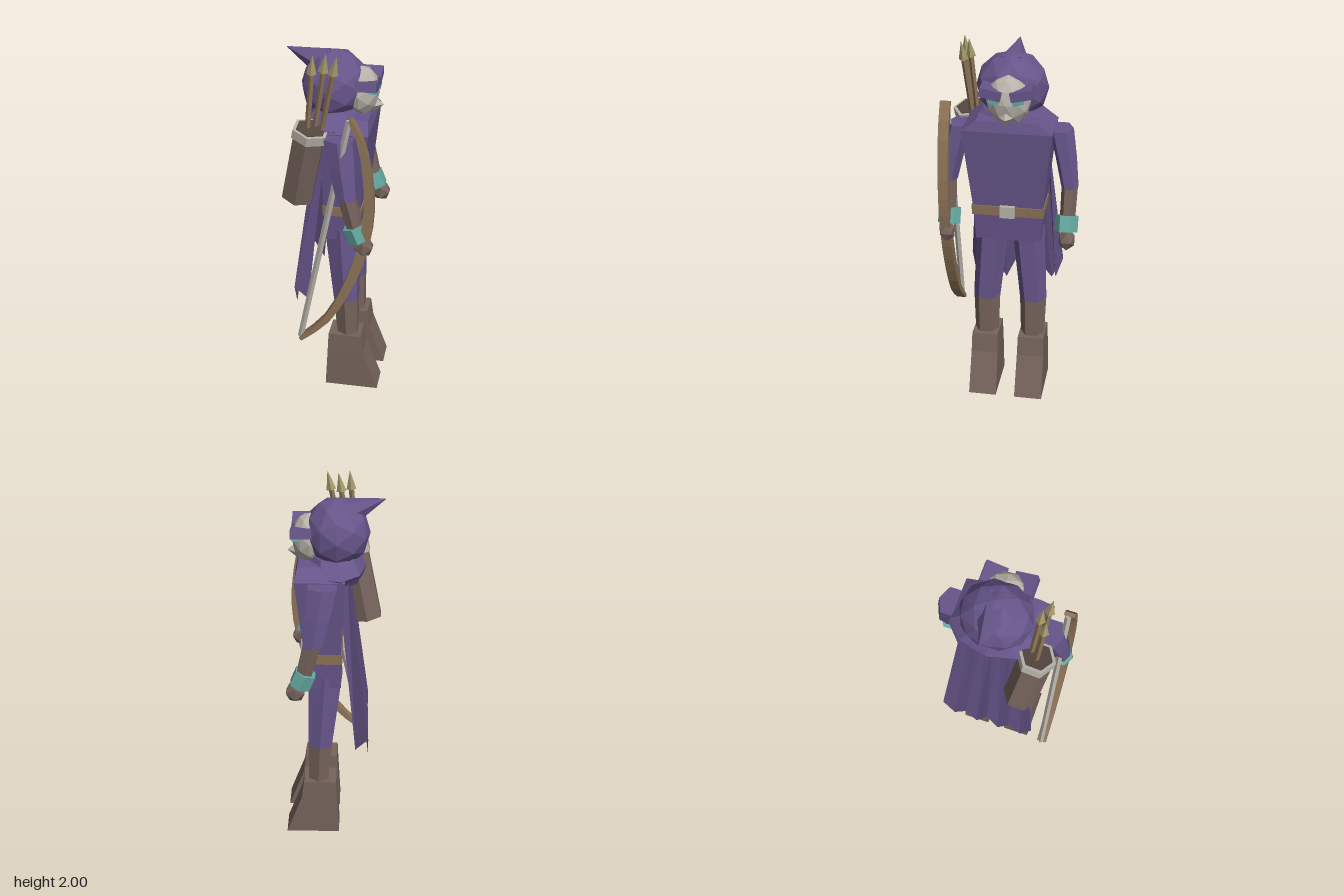
import * as THREE from 'three';

const mat = (name, color, extra = {}) => {
  const m = new THREE.MeshStandardMaterial({ color, flatShading: true, ...extra });
  m.name = name;
  return m;
};

export function createModel() {
  const purple = mat('purple cloth', 0x66558a);
  const cloak = mat('purple cloak', 0x5f4f80, { side: THREE.DoubleSide });
  const brown = mat('brown leather', 0x75635b);
  const dark = mat('dark lining', 0x54463f);
  const wood = mat('tan wood', 0x8d7358);
  const grey = mat('pale grey', 0xb7b3aa);
  const teal = mat('teal', 0x64a8a0);
  const olive = mat('olive brass', 0xa39a68);

  const root = new THREE.Group();
  root.name = 'hoodedArcher';
  const add = (name, geo, m, parent = root) => {
    const mesh = new THREE.Mesh(geo, m);
    mesh.name = name;
    parent.add(mesh);
    return mesh;
  };
  const V = (x, y, z) => new THREE.Vector3(x, y, z);

  // Closed rings of equal point count, joined and capped
  const loft = (rings) => {
    const pos = [];
    const tri = (...p) => p.forEach((q) => pos.push(q.x, q.y, q.z));
    const n = rings[0].length;
    for (let r = 0; r < rings.length - 1; r++) {
      for (let i = 0; i < n; i++) {
        const j = (i + 1) % n, a = rings[r], b = rings[r + 1];
        tri(a[i], a[j], b[j]);
        tri(a[i], b[j], b[i]);
      }
    }
    const lo = rings[0], hi = rings[rings.length - 1];
    for (let i = 1; i < n - 1; i++) {
      tri(lo[0], lo[i + 1], lo[i]);
      tri(hi[0], hi[i], hi[i + 1]);
    }
    const g = new THREE.BufferGeometry();
    g.setAttribute('position', new THREE.Float32BufferAttribute(pos, 3));
    g.computeVertexNormals();
    return g;
  };
  const rect = (y, x0, x1, z0, z1) => [V(x1, y, z1), V(x1, y, z0), V(x0, y, z0), V(x0, y, z1)];
  const oval = (x, y, z, rx, rz, n = 6) => Array.from({ length: n }, (_, i) => {
    const t = ((i + 0.5) / n) * Math.PI * 2;
    return V(x + rx * Math.cos(t), y, z - rz * Math.sin(t));
  });
  // Straight prism between two points
  const rod = (name, a, b, ra, rb, n, m, parent, open = false) => {
    const d = b.clone().sub(a);
    const mesh = add(name, new THREE.CylinderGeometry(rb, ra, d.length(), n, 1, open), m, parent);
    mesh.position.copy(a).lerp(b, 0.5);
    mesh.quaternion.setFromUnitVectors(V(0, 1, 0), d.normalize());
    return mesh;
  };

  // Tunic, belt and shoulders
  add('tunic', loft([
    rect(0.94, -0.04, 0.14, -0.175, 0.175),
    rect(1.15, -0.04, 0.155, -0.188, 0.188),
    rect(1.58, -0.06, 0.198, -0.235, 0.235),
    rect(1.635, -0.06, 0.185, -0.16, 0.16),
  ]), purple);
  add('belt', loft([
    rect(1.09, -0.046, 0.157, -0.191, 0.191),
    rect(1.145, -0.046, 0.161, -0.194, 0.194),
  ]), wood);
  add('buckle', new THREE.BoxGeometry(0.03, 0.065, 0.08), grey).position.set(0.163, 1.12, 0);
  add('scarf', loft([
    oval(-0.01, 1.53, 0, 0.14, 0.19, 9),
    oval(-0.01, 1.59, 0, 0.16, 0.245, 9),
    oval(0, 1.66, 0, 0.13, 0.16, 9),
  ]), purple);

  // Legs, boots, arms, cuffs and hands on both sides
  for (const s of [1, -1]) {
    const leg = new THREE.Group();
    leg.name = s > 0 ? 'rightLeg' : 'leftLeg';
    root.add(leg);
    const c = 0.13 * s;
    add('trouser', loft([
      oval(0.075, 0.56, c, 0.075, 0.075),
      oval(0.045, 1.0, 0.095 * s, 0.105, 0.09),
    ]), purple, leg);
    add('shin', loft([
      oval(0.085, 0.32, c, 0.062, 0.066),
      oval(0.075, 0.56, c, 0.074, 0.074),
    ]), brown, leg);
    add('boot', loft([
      rect(0, -0.032, 0.265, c - 0.077, c + 0.077),
      rect(0.23, -0.02, 0.18, c - 0.075, c + 0.075),
      rect(0.34, -0.015, 0.165, c - 0.072, c + 0.072),
    ]), brown, leg);

    const arm = new THREE.Group();
    arm.name = s > 0 ? 'rightArm' : 'leftArm';
    root.add(arm);
    add('sleeve', loft([
      oval(0.105, 1.27, 0.322 * s, 0.058, 0.046),
      oval(0.08, 1.42, 0.297 * s, 0.075, 0.056),
      oval(0.055, 1.575, 0.265 * s, 0.085, 0.065),
    ]), purple, arm);
    add('forearm', loft([
      oval(0.16, 1.06, 0.318 * s, 0.045, 0.04),
      oval(0.107, 1.275, 0.322 * s, 0.052, 0.043),
    ]), brown, arm);
    rod('cuff', V(0.172, 1.035, 0.315 * s), V(0.14, 1.115, 0.315 * s), 0.061, 0.061, 6, teal, arm);
    const hand = add('hand', new THREE.IcosahedronGeometry(0.06, 0), brown, arm);
    hand.position.set(0.195, 1.0, 0.322 * s);
    hand.scale.set(0.95, 1, 0.8);
  }

  // Hood with its swept-back point
  const hood = new THREE.Group();
  hood.name = 'hood';
  root.add(hood);
  const shell = add('hoodShell', new THREE.IcosahedronGeometry(0.19, 1), purple, hood);
  shell.position.set(-0.015, 1.765, 0);
  shell.scale.set(0.9, 0.97, 1);
  const point = rod('hoodPoint', V(0.0, 1.845, 0), V(-0.26, 1.945, 0), 0.105, 0.002, 6, purple, hood);
  point.scale.z = 1;

  // Mask with beak, slanted brows and eyes
  const face = new THREE.Group();
  face.name = 'face';
  root.add(face);
  const mask = add('mask', new THREE.IcosahedronGeometry(0.12, 1), grey, face);
  mask.position.set(0.125, 1.735, 0);
  mask.scale.set(0.8, 1.1, 0.97);
  const beak = add('beak', new THREE.ConeGeometry(0.06, 0.07, 4), grey, face);
  beak.position.set(0.208, 1.665, 0);
  beak.rotation.z = -Math.PI / 2;
  for (const s of [1, -1]) {
    const brow = add('brow', new THREE.BoxGeometry(0.11, 0.048, 0.115), purple, face);
    brow.position.set(0.165, 1.79, 0.08 * s);
    brow.rotation.x = -0.22 * s;
    const eye = add('eye', new THREE.BoxGeometry(0.05, 0.026, 0.055), teal, face);
    eye.position.set(0.193, 1.753, 0.062 * s);
    eye.rotation.x = -0.3 * s;
  }

  // Cloak: a folded sheet with a ragged hem
  const hem = [[-0.12, 0.58, -0.23], [-0.19, 0.67, -0.265], [-0.19, 0.54, -0.2], [-0.19, 0.63, -0.13],
    [-0.19, 0.52, -0.065], [-0.19, 0.66, 0], [-0.19, 0.52, 0.065], [-0.19, 0.63, 0.13],
    [-0.19, 0.54, 0.2], [-0.19, 0.67, 0.265], [-0.12, 0.58, 0.23]];
  const cp = [], ci = [];
  hem.forEach(([x, y, z], i) => {
    const wing = i === 0 || i === hem.length - 1;
    cp.push(wing ? -0.02 : -0.07, 1.6, wing ? z * 0.8 : z * 0.62, x, y, z);
    if (i) ci.push(2 * i - 2, 2 * i - 1, 2 * i, 2 * i, 2 * i - 1, 2 * i + 1);
  });
  const cg = new THREE.BufferGeometry();
  cg.setAttribute('position', new THREE.Float32BufferAttribute(cp, 3));
  cg.setIndex(ci);
  cg.computeVertexNormals();
  add('cloak', cg, cloak);

  // Quiver with rim and arrows
  const quiver = new THREE.Group();
  quiver.name = 'quiver';
  root.add(quiver);
  const q0 = V(-0.178, 1.19, 0.185), q1 = V(-0.097, 1.585, 0.235);
  const along = (t) => q0.clone().lerp(q1, t);
  rod('quiverBody', q0, q1, 0.09, 0.088, 6, brown, quiver);
  rod('quiverRim', along(0.93), along(1.05), 0.098, 0.098, 6, grey, quiver);
  rod('quiverMouth', along(1.04), along(1.06), 0.08, 0.08, 6, dark, quiver);
  [[-0.115, 0.235, -0.075, 0.26], [-0.085, 0.2, -0.017, 0.226], [-0.05, 0.22, 0.042, 0.256]]
    .forEach(([x0, z0, x1, z1]) => {
      const a = V(x0, 1.56, z0), b = V(x1, 2.0, z1);
      const neck = a.clone().lerp(b, 0.78);
      rod('arrowShaft', a, neck, 0.014, 0.014, 4, wood, quiver);
      rod('arrowHead', neck, b, 0.026, 0.001, 4, olive, quiver);
    });

  // Bow: flat bar along a curve, thinner at the tips
  const bow = new THREE.Group();
  bow.name = 'bow';
  root.add(bow);
  const curve = new THREE.CatmullRomCurve3([V(-0.145, 0.39, 0.326), V(-0.01, 0.52, 0.326),
    V(0.1, 0.72, 0.326), V(0.185, 0.96, 0.326), V(0.222, 1.2, 0.326),
    V(0.21, 1.43, 0.326), V(0.175, 1.6, 0.326), V(0.125, 1.71, 0.326)]);
  const bars = [];
  for (let i = 0; i <= 14; i++) {
    const t = i / 14, p = curve.getPointAt(t), d = curve.getTangentAt(t);
    const w = 0.01 + 0.018 * Math.sin(Math.PI * t);
    const corner = (u, z) => V(p.x + d.y * u, p.y - d.x * u, p.z + z);
    bars.push([corner(w, 0.027), corner(w, -0.027), corner(-w, -0.027), corner(-w, 0.027)]);
  }
  add('bowLimb', loft(bars), wood, bow);
  rod('bowString', V(-0.148, 0.395, 0.322), V(0.115, 1.7, 0.322), 0.016, 0.016, 4, grey, bow);

  return root;
}
